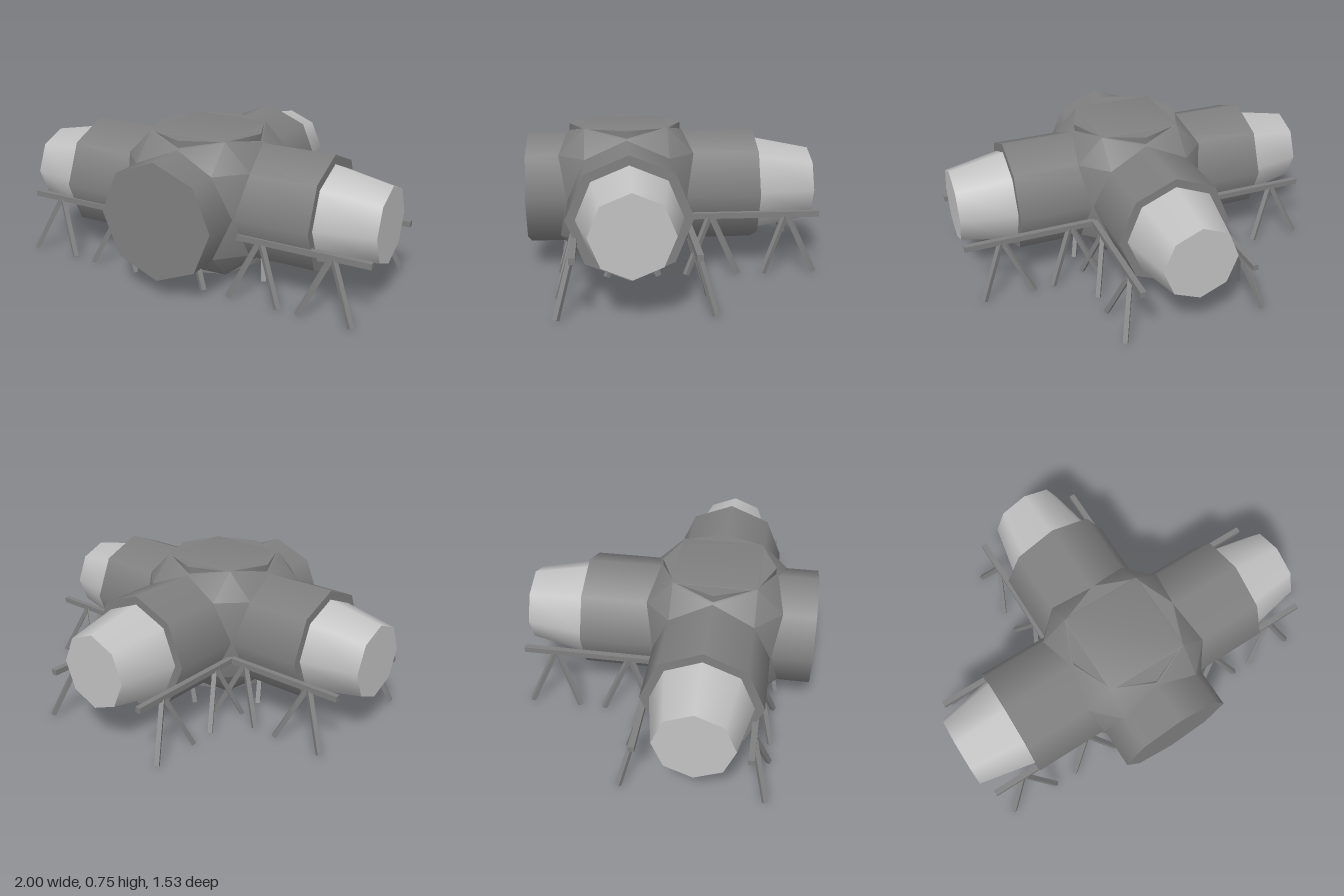
import * as THREE from 'three';
import { toCreasedNormals, mergeVertices } from 'three/addons/utils/BufferGeometryUtils.js';
import { ConvexGeometry } from 'three/addons/geometries/ConvexGeometry.js';

export function createModel() {
  const model = new THREE.Group();
  model.name = 'stationModule';

  const hullGrey = new THREE.MeshStandardMaterial({ color: 0x7f7f7f });
  hullGrey.name = 'hullGrey';
  const capGrey = new THREE.MeshStandardMaterial({ color: 0xc2c2c2 });
  capGrey.name = 'capGrey';

  const CX = -0.005, CY = 0.405, CZ = 0.243; // hub centre
  const R = 0.305;

  function add(name, geometry, material, parent = model) {
    const mesh = new THREE.Mesh(geometry, material);
    mesh.name = name;
    parent.add(mesh);
    return mesh;
  }

  // Eight-sided tube with smooth sides and crisp ends
  const tube = (rTop, rBottom, length) => new THREE.CylinderGeometry(rTop, rBottom, length, 8);

  // Main tubes crossing at the hub
  add('sideTube', tube(R, R, 1.4).rotateZ(-Math.PI / 2), hullGrey).position.set(CX, CY, CZ);
  add('longTube', tube(R, R, 1.22).rotateX(Math.PI / 2), hullGrey).position.set(CX, CY, 0.155);
  add('verticalTube', tube(0.298, 0.298, 0.7), hullGrey).position.set(CX, CY, CZ);

  // Faceted hub: six square faces joined through raised edge midpoints
  const points = [];
  const put = (a, b, c) => {
    for (const sa of [-1, 1]) for (const sb of [-1, 1]) for (const sc of [-1, 1]) {
      points.push(new THREE.Vector3(a * sa, b * sb, c * sc));
    }
  };
  const f = 0.352, s = 0.215, e = 0.308;
  put(f, s, s); put(s, f, s); put(s, s, f);
  put(e, e, 0); put(e, 0, e); put(0, e, e);
  let hub = new ConvexGeometry(points);
  hub.deleteAttribute('normal');
  hub = toCreasedNormals(mergeVertices(hub, 1e-4), 0.6);
  add('hub', hub, hullGrey).position.set(CX, CY, CZ);

  // Tapered end caps on the two sides and the back
  const cap = () => tube(0.198, 0.26, 0.31);
  add('leftCap', cap().rotateZ(-Math.PI / 2), capGrey).position.set(0.835, CY, CZ);
  add('rightCap', cap().rotateZ(Math.PI / 2), capGrey).position.set(-0.845, CY, CZ);
  add('backCap', cap().rotateX(-Math.PI / 2), capGrey).position.set(CX, CY, -0.61);

  // Square bar between two points
  function bar(name, a, b, width, parent) {
    const start = new THREE.Vector3(...a), end = new THREE.Vector3(...b);
    const mesh = add(name, new THREE.BoxGeometry(width, width, start.distanceTo(end)), hullGrey, parent);
    mesh.position.copy(start).add(end).multiplyScalar(0.5);
    mesh.lookAt(end);
  }

  // Rail with splayed pairs of legs; at(along, y, out) maps to a position
  function trestle(name, from, to, apexes, at) {
    const group = new THREE.Group();
    group.name = name;
    model.add(group);
    bar('rail', at(from, 0.305, 0), at(to, 0.305, 0), 0.03, group);
    for (const apex of apexes) {
      for (const side of [-1, 1]) {
        bar('leg', at(apex + side * 0.008, 0.295, 0.003), at(apex + side * 0.135, 0.01, 0.08), 0.024, group);
      }
    }
  }

  const sideApexes = [-0.79, -0.395, 0.02, 0.43, 0.805];
  const backApexes = [-0.592, -0.19, 0.222];
  trestle('frontTrestle', -0.96, 1.0, sideApexes, (a, y, o) => [a, y, 0.508 + o]);
  trestle('rearTrestle', -0.96, 1.0, sideApexes, (a, y, o) => [a, y, -0.055 - o]);
  trestle('leftTrestle', -0.765, 0.35, backApexes, (a, y, o) => [0.295 + o, y, a]);
  trestle('rightTrestle', -0.765, 0.35, backApexes, (a, y, o) => [-0.305 - o, y, a]);

  // Smooth the tube sides only; end faces already have their own normals
  return model;
}
